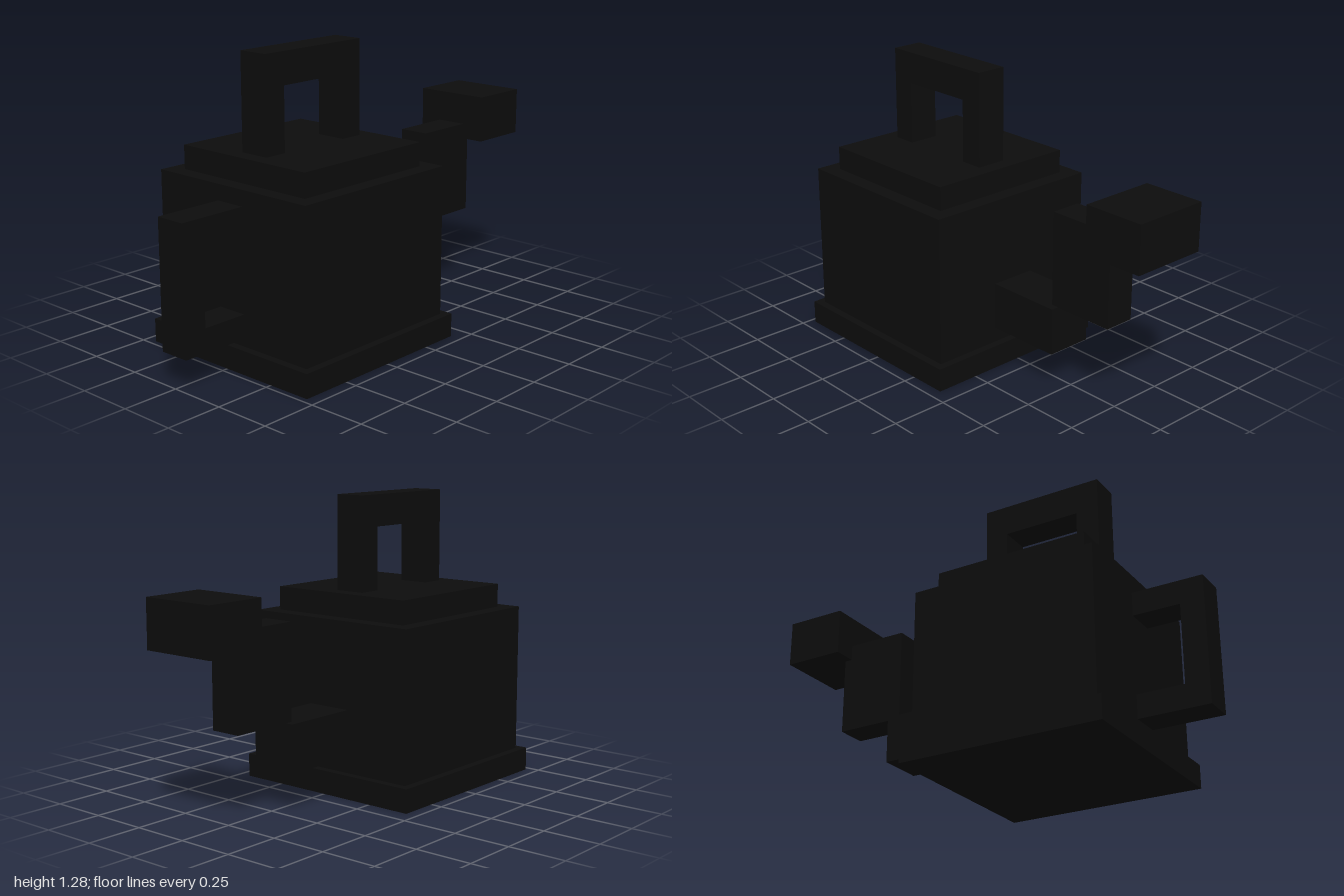
import * as THREE from 'three';

// All parts sit on a block grid: 29 units = half the model's length
const U = 1 / 29;

export function createModel() {
  const model = new THREE.Group();
  model.name = 'wateringCan';

  const black = new THREE.MeshStandardMaterial({ color: 0x0d0d0d });
  black.name = 'black';

  // Box centred on x = 0, given its half width and its y and z ranges in grid units
  function block(name, halfWidth, [y0, y1], [z0, z1], parent = model) {
    const geometry = new THREE.BoxGeometry(2 * halfWidth * U, (y1 - y0) * U, (z1 - z0) * U);
    const mesh = new THREE.Mesh(geometry, black);
    mesh.name = name;
    mesh.position.set(0, (y0 + y1) / 2 * U, (z0 + z1) / 2 * U);
    parent.add(mesh);
  }

  function group(name) {
    const g = new THREE.Group();
    g.name = name;
    model.add(g);
    return g;
  }

  // Tank: foot, body and stepped lid
  block('base', 13, [0, 3], [-5, 21]);
  block('body', 12, [3, 22], [-4, 20]);
  block('lid', 10, [22, 25], [-2, 18]);

  // Carrying handle on top
  const topHandle = group('topHandle');
  block('topHandleFrontPost', 2, [25, 33], [13, 16], topHandle);
  block('topHandleBackPost', 2, [25, 33], [0, 3], topHandle);
  block('topHandleGrip', 2, [33, 37], [0, 16], topHandle);

  // Pouring handle on the front
  const frontHandle = group('frontHandle');
  block('frontHandleLowerArm', 2, [4, 7], [20, 26], frontHandle);
  block('frontHandleUpperArm', 2, [17, 20], [20, 26], frontHandle);
  block('frontHandleGrip', 2, [4, 20], [26, 29], frontHandle);

  // Stepped spout rising away behind the tank, ending in the sprinkler head
  const spout = group('spout');
  block('spoutRoot', 3, [5, 11], [-14, -4], spout);
  block('spoutRiser', 2, [11, 23], [-22, -13], spout);
  block('sprinklerHead', 5, [21, 27], [-29, -21], spout);

  return model;
}
